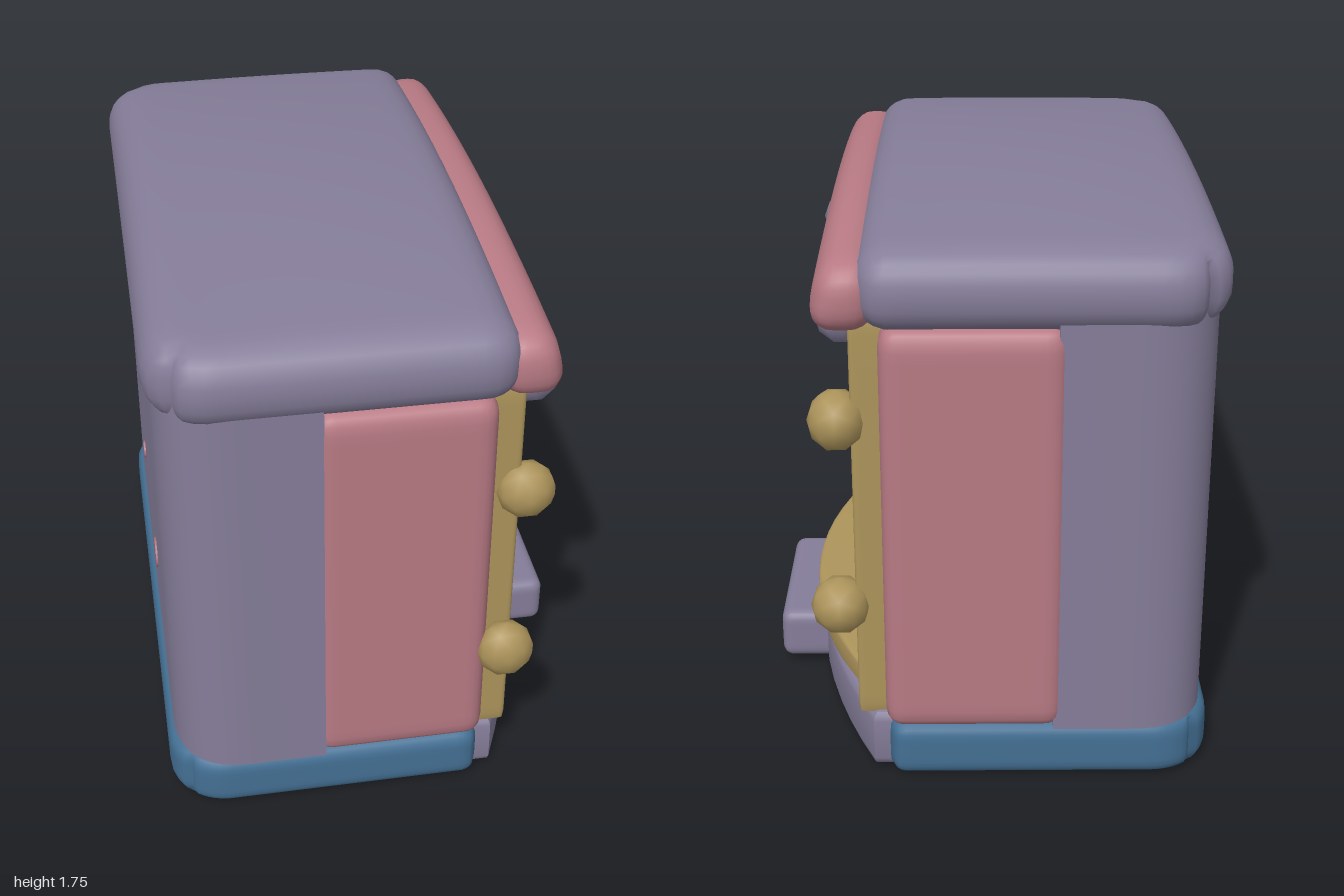
import * as THREE from 'three';
import { mergeVertices, toCreasedNormals } from 'three/addons/utils/BufferGeometryUtils.js';

const mat = (name, color) => {
  const m = new THREE.MeshStandardMaterial({ color });
  m.name = name;
  return m;
};

// soft box between two corners, edges rounded by r, optional vertex rule
function softBox([x0, y0, z0], [x1, y1, z1], r, rule) {
  const size = [x1 - x0, y1 - y0, z1 - z0];
  const mid = [(x0 + x1) / 2, (y0 + y1) / 2, (z0 + z1) / 2];
  const seg = size.map((s) => Math.min(40, Math.max(6, Math.ceil((s / r) * 2.5))));
  let g = new THREE.BoxGeometry(...size, ...seg);
  g.deleteAttribute('normal');
  g.deleteAttribute('uv');
  g = mergeVertices(g);
  const p = g.attributes.position;
  const v = new THREE.Vector3();
  const inner = new THREE.Vector3(...size.map((s) => Math.max(0, s / 2 - r)));
  const low = inner.clone().negate();
  for (let i = 0; i < p.count; i++) {
    v.fromBufferAttribute(p, i);
    const core = v.clone().clamp(low, inner);
    v.sub(core).setLength(r).add(core).add(new THREE.Vector3(...mid));
    if (rule) rule(v);
    p.setXYZ(i, v.x, v.y, v.z);
  }
  g.computeVertexNormals();
  return g;
}

// pulls the two back corners of a plan in to a wide curve
function roundBack(v, back, z0, z1, r) {
  const dx = back + r - v.x;
  const dz = Math.max(z0 + r - v.z, v.z - z1 + r);
  if (dx <= 0 || dz <= 0) return;
  const k = 1 - Math.max(dx, dz) / Math.hypot(dx, dz);
  v.x += dx * k;
  v.z -= Math.sign(v.z) * dz * k;
}

// plan outline in (x, z) raised from y0 to y1 with rounded edges
function raised(shape, y0, y1, b) {
  const g = new THREE.ExtrudeGeometry(shape, {
    depth: y1 - y0 - 2 * b, bevelEnabled: b > 0, bevelSize: b, bevelThickness: b,
    bevelOffset: -b, bevelSegments: 3, curveSegments: 12,
  });
  g.rotateX(Math.PI / 2).translate(0, y1 - b, 0);
  return toCreasedNormals(g, 0.7);
}

// outline with a straight back edge and a bowed front edge
function bowed(back, side, bow, z0, z1) {
  const s = new THREE.Shape();
  s.moveTo(back, z0);
  const n = 16;
  for (let i = 0; i <= n; i++) {
    const t = i / n;
    s.lineTo(side + bow * 4 * t * (1 - t), z0 + (z1 - z0) * t);
  }
  s.lineTo(back, z1);
  s.closePath();
  return s;
}

// continues an outline from its front left end round the curved back
function curvedBack(s, back, z0, z1, r) {
  s.lineTo(back + r, z1);
  s.quadraticCurveTo(back, z1, back, z1 - r);
  s.lineTo(back, z0 + r);
  s.quadraticCurveTo(back, z0, back + r, z0);
  s.closePath();
  return s;
}

export function createModel() {
  const purple = mat('dusty purple', 0x857d99);
  const pink = mat('dusty pink', 0xb87a84);
  const gold = mat('ochre', 0xad945b);
  const blue = mat('slate blue', 0x447094);
  const model = new THREE.Group();
  model.name = 'openCabinet';
  const add = (name, geometry, material) => {
    const m = new THREE.Mesh(geometry, material);
    m.name = name;
    model.add(m);
    return m;
  };

  // base: blue plinth, bowed front, step and underside
  add('plinth', softBox([-0.68, 0.004, -0.965], [0.29, 0.19, 0.935], 0.05,
    (v) => roundBack(v, -0.68, -0.965, 0.935, 0.18)), blue);
  add('bowedBaseFront', raised(bowed(0.1, 0.34, 0.21, -0.9, 0.88), 0, 0.19, 0.03), purple);
  add('step', softBox([0.48, 0.025, -0.31], [0.68, 0.195, 0.26], 0.035), purple);
  add('stepUnderside', new THREE.BoxGeometry(0.1, 0.008, 0.48).translate(0.59, 0.024, -0.025), blue);
  const under = new THREE.Shape();
  under.moveTo(0.25, -0.92);
  under.lineTo(0.25, 0.89);
  add('underside', raised(curvedBack(under, -0.635, -0.92, 0.89, 0.22), 0, 0.009, 0), purple);

  // rear shell, U-shaped in plan with rounded back corners
  const shell = new THREE.Shape();
  shell.moveTo(-0.2, -0.965);
  shell.lineTo(-0.2, -0.78);
  shell.lineTo(-0.3, -0.78);
  shell.lineTo(-0.3, 0.76);
  shell.lineTo(-0.2, 0.76);
  shell.lineTo(-0.2, 0.935);
  add('rearShell', raised(curvedBack(shell, -0.66, -0.965, 0.935, 0.23), 0.175, 1.5, 0), purple);
  for (const [y, z, r] of [[0.51, 0.26, 0.05], [0.57, -0.25, 0.03]]) {
    const spot = new THREE.CylinderGeometry(r, r, 0.008, 9).rotateZ(Math.PI / 2);
    add('backSpot', spot.translate(-0.662, y, z), pink);
  }

  // pink side walls
  add('leftWall', softBox([-0.23, 0.18, 0.77], [0.3, 1.45, 0.942], 0.055), pink);
  add('rightWall', softBox([-0.23, 0.18, -0.98], [0.3, 1.45, -0.79], 0.055), pink);

  // ochre lining
  add('backLining', softBox([-0.32, 0.19, -0.8], [-0.27, 1.36, 0.78], 0.012), gold);
  add('ceiling', softBox([-0.3, 1.29, -0.82], [0.34, 1.38, 0.8], 0.03), gold);
  add('floor', raised(bowed(-0.3, 0.37, 0.2, -0.76, 0.74), 0.17, 0.26, 0.015), gold);
  for (const [z0, z1] of [[0.74, 0.8], [-0.82, -0.76]])
    add('sideLining', softBox([-0.3, 0.19, z0], [0.3, 1.36, z1], 0.012), gold);

  // opening frame: posts, lintel and corner gussets
  for (const [z0, z1, e0, e1] of [[0.72, 0.83, 0.8, 0.875], [-0.84, -0.735, -0.88, -0.81]]) {
    add('frontPost', softBox([0.26, 0.18, z0], [0.37, 1.46, z1], 0.015), gold);
    add('postEdge', softBox([0.26, 0.18, e0], [0.385, 1.46, e1], 0.015), gold);
  }
  add('lintel', softBox([0.24, 1.27, -0.84], [0.38, 1.48, 0.82], 0.03), gold);
  for (const [z, dz, dy] of [[0.74, -0.22, 0.35], [-0.75, 0.15, 0.17]]) {
    const tri = new THREE.Shape([
      new THREE.Vector2(-z, 1.29), new THREE.Vector2(-z, 1.29 - dy), new THREE.Vector2(-z - dz, 1.29),
    ]);
    const g = new THREE.ExtrudeGeometry(tri, { depth: 0.06, bevelEnabled: false });
    add('cornerGusset', g.rotateY(Math.PI / 2).translate(0.25, 0, 0), gold);
  }

  // domed roof and its arched front trim
  add('roof', softBox([-0.685, 1.43, -0.99], [0.365, 1.68, 0.955], 0.105, (v) => {
    const up = Math.max(0, (v.y - 1.43) / 0.25);
    const a = (v.z + 0.015) / 0.97, b = (v.x + 0.08) / 0.6;
    v.y += up * (0.07 * (1 - a * a) * (1 - 0.6 * b * b) - 0.02 * a * a);
    roundBack(v, -0.685, -0.99, 0.955, 0.19);
  }), purple);
  add('roofTrim', softBox([0.3, 1.425, -0.96], [0.5, 1.62, 0.925], 0.08, (v) => {
    const up = Math.max(0, (v.y - 1.425) / 0.195);
    const a = (v.z + 0.015) / 0.95;
    v.y += up * 0.055 * (1 - a * a) + 0.01 * (1 - a * a);
    v.x -= 0.04 * up * (v.x - 0.3) / 0.2;
  }), pink);

  // faceted round knobs on the posts
  for (const [x, y, z, rx, ry, rz] of [
    [0.4, 1.095, 0.87, 0.09, 0.09, 0.078], [0.355, 0.535, 0.925, 0.09, 0.095, 0.072],
    [0.425, 1.14, -0.85, 0.085, 0.092, 0.092], [0.43, 0.55, -0.865, 0.088, 0.088, 0.088],
  ]) add('knob', new THREE.IcosahedronGeometry(1, 1).scale(rx, ry, rz).translate(x, y, z), gold);

  // purple lamps on pink sockets
  for (const [x, y, z] of [[0.475, 1.31, 0.59], [0.415, 1.36, -0.58]]) {
    add('lampSocket', new THREE.IcosahedronGeometry(0.08, 1).translate(x - 0.035, y + 0.015, z), pink);
    add('lamp', new THREE.IcosahedronGeometry(0.088, 1).translate(x, y, z), purple);
  }
  return model;
}
